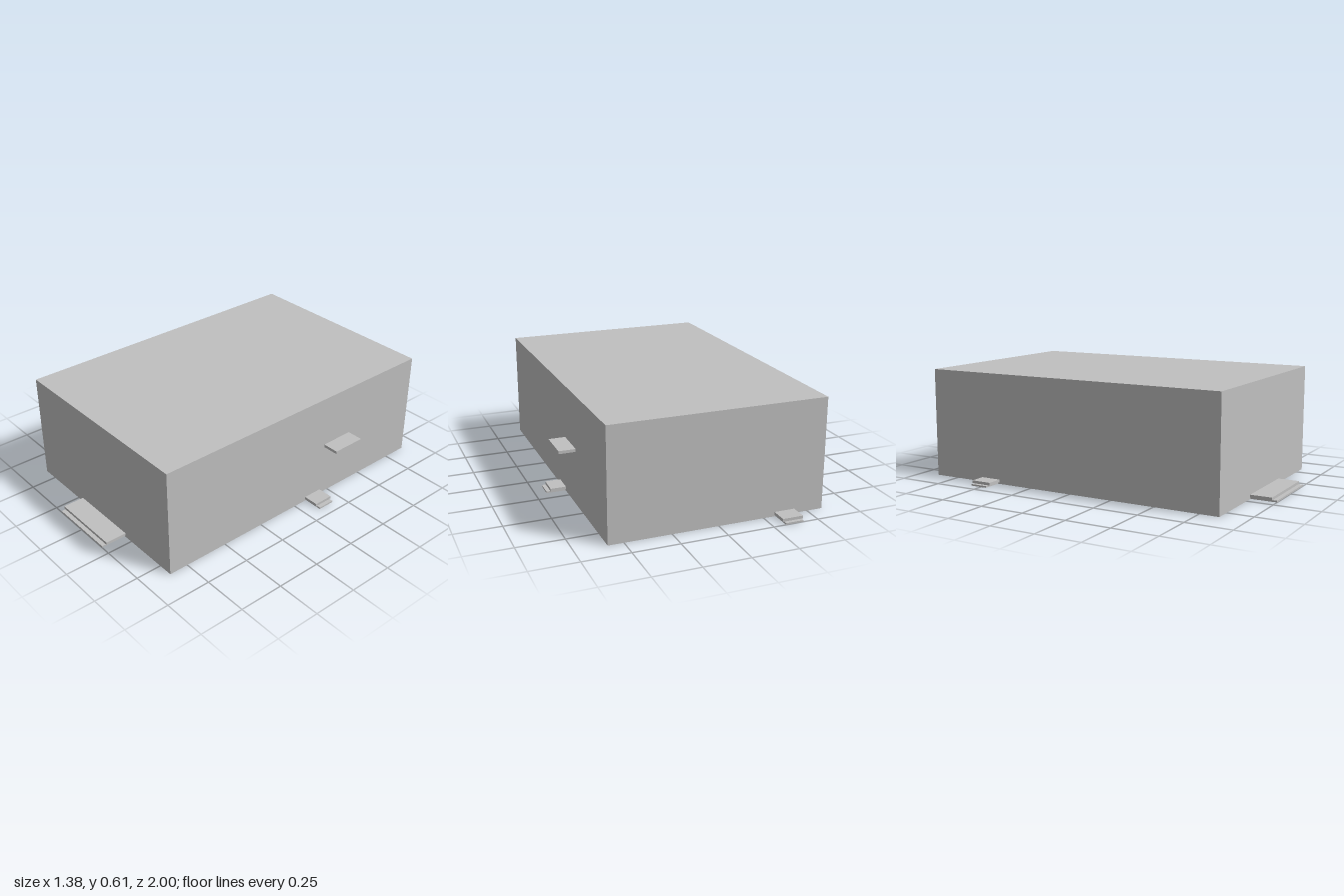
import * as THREE from 'three';

export function createModel() {
  const model = new THREE.Group();
  model.name = 'building';
  const grey = new THREE.MeshStandardMaterial({ color: 0xc0c0c0 });
  grey.name = 'light grey';

  // Box given by its extents on each axis
  function block(name, [x0, x1], [y0, y1], [z0, z1], parent = model) {
    const mesh = new THREE.Mesh(new THREE.BoxGeometry(x1 - x0, y1 - y0, z1 - z0), grey);
    mesh.position.set((x0 + x1) / 2, (y0 + y1) / 2, (z0 + z1) / 2);
    mesh.name = name;
    parent.add(mesh);
  }

  // Two-step doorstep: a slab above a narrower, longer lower tread
  function doorstep(name, slabX, slabZ, treadX, treadZ) {
    const step = new THREE.Group();
    step.name = name;
    block('upperSlab', slabX, [0.009, 0.024], slabZ, step);
    block('lowerTread', treadX, [0, 0.009], treadZ, step);
    model.add(step);
  }

  // Main hall
  block('body', [-0.586, 0.583], [0, 0.606], [-0.89, 0.857]);

  // Doorsteps on all four sides
  doorstep('frontStep', [-0.205, 0.2], [0.857, 0.976], [-0.196, 0.192], [0.857, 1]);
  doorstep('backStep', [-0.424, -0.311], [-0.98, -0.89], [-0.416, -0.318], [-1, -0.89]);
  doorstep('leftStep', [0.583, 0.668], [-0.19, -0.079], [0.583, 0.69], [-0.183, -0.086]);
  doorstep('rightStep', [-0.672, -0.586], [-0.572, -0.456], [-0.693, -0.586], [-0.563, -0.465]);

  // Small ledge halfway up the left wall
  block('wallLedge', [0.583, 0.674], [0.3, 0.316], [-0.398, -0.206]);

  return model;
}
